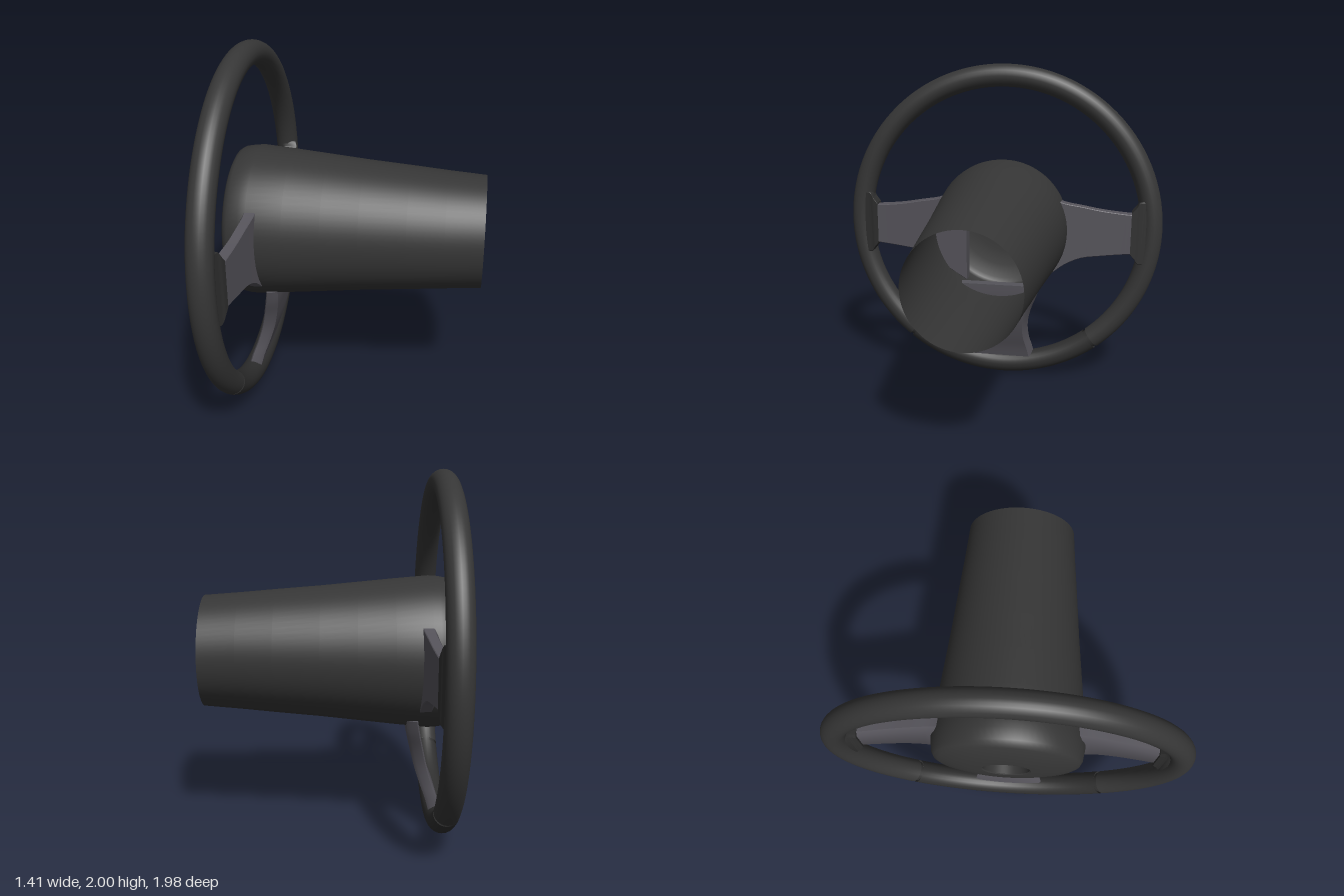
import * as THREE from 'three';
import { toCreasedNormals } from 'three/addons/utils/BufferGeometryUtils.js';

const paint = (color) => new THREE.MeshStandardMaterial({ color, side: THREE.DoubleSide });
const dark = paint(0x363636);
const darker = paint(0x2f2f2f);
const spokeGrey = paint(0x55535a);

const HUB_Y = 1;
const RIM_X = -0.605;
const RIM_R = 0.932;
const TUBE_R = 0.068;

function addMesh(parent, name, geometry, material) {
  const mesh = new THREE.Mesh(geometry, material);
  mesh.name = name;
  parent.add(mesh);
  return mesh;
}

// Loft a bevelled bar along the radius. Each row: [r, low edge, high edge, front x, back x].
// place(x, u, r) turns depth, width and radius into a point.
function loftBar(rows, frontBevel, backBevel, place, steps = 16) {
  const columns = rows[0].map((_, c) =>
    new THREE.SplineCurve(rows.map((row, i) => new THREE.Vector2(i, row[c]))));
  const positions = [];
  const index = [];
  const n = 8;
  for (let s = 0; s <= steps; s++) {
    const [r, lo, hi, xf, xb] = columns.map((curve) => curve.getPoint(s / steps).y);
    const f = frontBevel;
    const b = backBevel;
    const section = [
      [xf + f * 0.6, lo], [xf, lo + f], [xf, hi - f], [xf + f * 0.6, hi],
      [xb - b * 0.6, hi - b * 0.4], [xb, hi - b], [xb, lo + b], [xb - b * 0.6, lo + b * 0.4],
    ];
    for (const [x, u] of section) positions.push(...place(x, u, r));
  }
  for (let s = 0; s < steps; s++) {
    for (let i = 0; i < n; i++) {
      const a = s * n + i;
      const b = s * n + ((i + 1) % n);
      index.push(a, a + n, b, b, a + n, b + n);
    }
  }
  // End caps
  const last = steps * n;
  for (let i = 1; i < n - 1; i++) {
    index.push(0, i, i + 1);
    index.push(last, last + i + 1, last + i);
  }
  const geometry = new THREE.BufferGeometry();
  geometry.setAttribute('position', new THREE.Float32BufferAttribute(positions, 3));
  geometry.setIndex(index);
  return toCreasedNormals(geometry, 0.6);
}

// Part of the rim between two angles in degrees, turned to face along x
function rimArc(from, to, tube) {
  const arc = THREE.MathUtils.degToRad(to - from);
  const segments = Math.max(2, Math.ceil((to - from) / 2.5));
  const geometry = new THREE.TorusGeometry(RIM_R, tube, 24, segments, arc);
  geometry.rotateZ(THREE.MathUtils.degToRad(from));
  geometry.rotateY(Math.PI / 2);
  return geometry;
}

export function createModel() {
  const model = new THREE.Group();
  model.name = 'steeringWheel';

  // Rim: long upper grip, short lower grip, and a narrow groove at each joint
  const rim = new THREE.Group();
  rim.name = 'rim';
  rim.position.set(RIM_X, HUB_Y, 0);
  rim.scale.z = 0.99;
  model.add(rim);
  const joint = 38.5;
  const gap = 0.6;
  addMesh(rim, 'upperGrip', rimArc(-90 + joint + gap, 270 - joint - gap, TUBE_R), dark);
  addMesh(rim, 'lowerGrip', rimArc(-90 - joint + gap, -90 + joint - gap, TUBE_R), darker);
  for (const side of [-1, 1]) {
    const angle = -90 + side * joint;
    addMesh(rim, 'jointGroove', rimArc(angle - 1, angle + 1, TUBE_R - 0.01), darker);
  }

  // Hub face with its round recess, running back into the open tapered column
  const profile = [
    [0, -0.635], [0.1, -0.635], [0.125, -0.655], [0.128, -0.705], [0.135, -0.71],
    [0.2, -0.708], [0.29, -0.695], [0.375, -0.675], [0.4, -0.662], [0.413, -0.64],
    [0.423, -0.58], [0.425, -0.54], [0.408, -0.35], [0.388, -0.15], [0.368, 0.05],
    [0.347, 0.3], [0.329, 0.5], [0.313, 0.705],
  ].map(([r, x]) => new THREE.Vector2(r, x));
  const column = addMesh(model, 'hubAndColumn',
    toCreasedNormals(new THREE.LatheGeometry(profile, 72), 0.6), dark);
  column.rotation.z = -Math.PI / 2;
  column.position.y = HUB_Y;
  column.scale.z = 0.985;

  // Side spokes with dark flared ends that meet the rim
  const sideways = (x, u, r) => [x, HUB_Y + u, r];
  const sideSpoke = loftBar([
    [0.21, -0.335, 0.24, -0.56, -0.47],
    [0.32, -0.27, 0.21, -0.56, -0.48],
    [0.4, -0.21, 0.183, -0.56, -0.488],
    [0.5, -0.165, 0.165, -0.565, -0.497],
    [0.62, -0.148, 0.142, -0.575, -0.507],
    [0.74, -0.136, 0.126, -0.59, -0.517],
    [0.81, -0.13, 0.12, -0.6, -0.522],
  ], 0.03, 0.006, sideways, 18);
  const sideFlare = loftBar([
    [0.8, -0.135, 0.13, -0.61, -0.52],
    [0.83, -0.17, 0.165, -0.62, -0.526],
    [0.85, -0.2, 0.195, -0.63, -0.535],
    [0.89, -0.2, 0.195, -0.64, -0.545],
  ], 0.02, 0.006, sideways, 9);
  for (const side of [1, -1]) {
    const spoke = new THREE.Group();
    spoke.name = side > 0 ? 'frontSideSpoke' : 'rearSideSpoke';
    spoke.scale.z = side;
    addMesh(spoke, 'spokeArm', sideSpoke, spokeGrey);
    addMesh(spoke, 'spokeFlare', sideFlare, darker);
    model.add(spoke);
  }

  // Waisted lower spoke, curving forward from the column to the rim
  const lowerSpoke = loftBar([
    [0.34, -0.26, 0.26, -0.48, -0.42],
    [0.42, -0.235, 0.235, -0.495, -0.426],
    [0.52, -0.197, 0.197, -0.517, -0.445],
    [0.62, -0.176, 0.176, -0.54, -0.468],
    [0.72, -0.18, 0.18, -0.57, -0.5],
    [0.8, -0.198, 0.198, -0.6, -0.53],
    [0.87, -0.212, 0.212, -0.62, -0.55],
  ], 0.012, 0.03, (x, u, r) => [x, HUB_Y - r, u], 20);
  addMesh(model, 'lowerSpoke', lowerSpoke, spokeGrey);

  return model;
}
